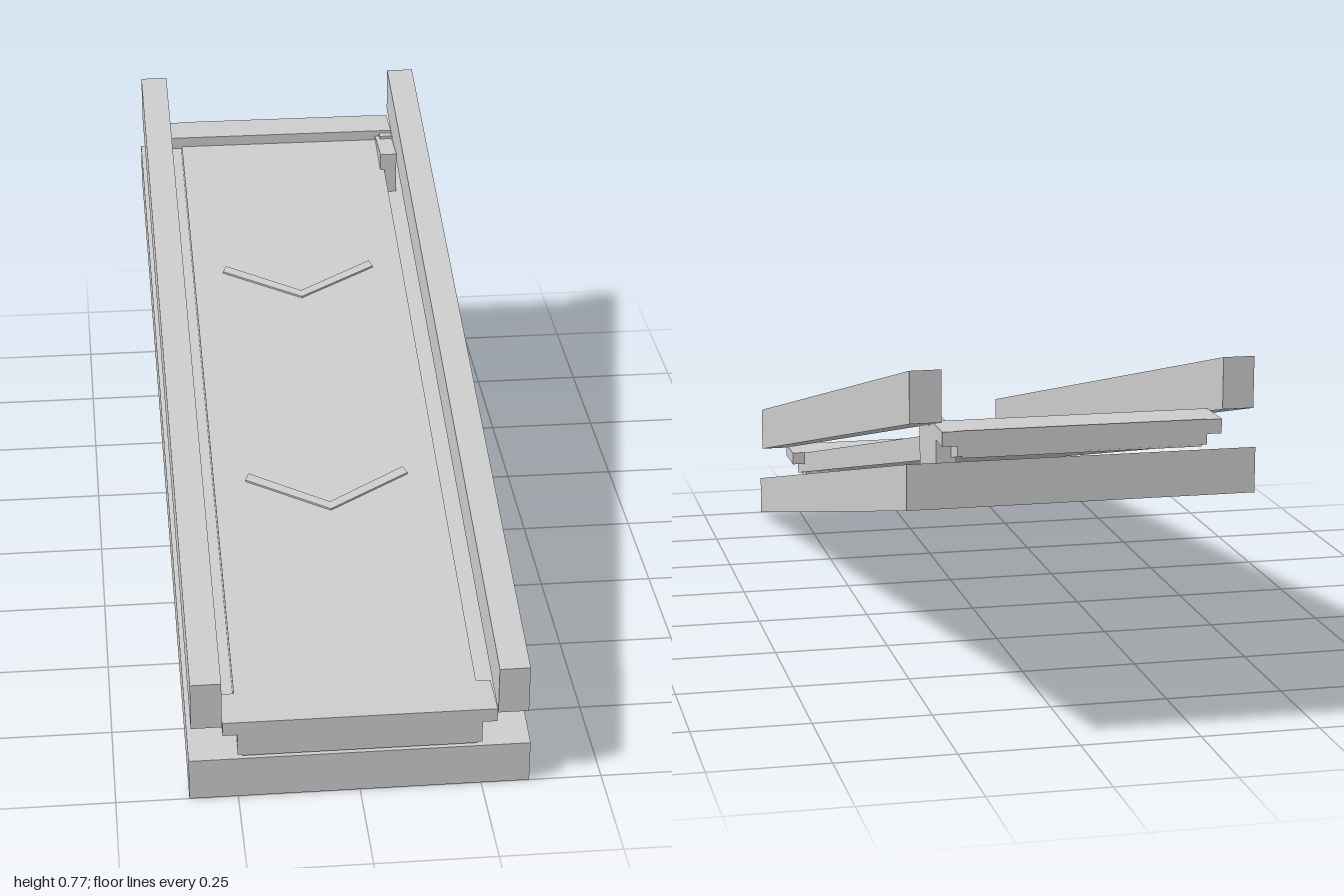
import * as THREE from 'three';

const SLOPE = 0.25;

export function createModel() {
  const group = new THREE.Group();
  const material = new THREE.MeshStandardMaterial({ color: 0xcccccc, flatShading: true });

  function add(name, geometry) {
    const mesh = new THREE.Mesh(geometry, material);
    mesh.name = name;
    group.add(mesh);
  }

  // Tilt a geometry along the incline while keeping its ends vertical
  function incline(geometry) {
    const p = geometry.attributes.position;
    for (let i = 0; i < p.count; i++) p.setY(i, p.getY(i) - SLOPE * p.getZ(i));
    geometry.computeVertexNormals();
    return geometry;
  }

  function box(x0, x1, y0, y1, z0, z1) {
    return new THREE.BoxGeometry(x1 - x0, y1 - y0, z1 - z0)
      .translate((x0 + x1) / 2, (y0 + y1) / 2, (z0 + z1) / 2);
  }

  // Inclined members; heights are those at the middle, z = 0
  add('base', incline(box(-0.35, 0.35, 0.25, 0.342, -1, 1)));
  add('belt', incline(box(-0.25, 0.25, 0.352, 0.403, -1, 1)));
  add('leftRail', incline(box(0.281, 0.344, 0.421, 0.525, -1, 1)));
  add('rightRail', incline(box(-0.344, -0.281, 0.421, 0.525, -1, 1)));

  // Level end plates and the end blocks inside the belt
  add('frontEndPlate', box(-0.28, 0.28, 0.15, 0.18, 0.895, 1));
  add('backEndPlate', box(-0.28, 0.28, 0.623, 0.652, -1, -0.9));
  add('frontEndBlock', box(-0.24, 0.24, 0.098, 0.15, 0.93, 0.998));
  add('backEndBlock', box(-0.24, 0.24, 0.598, 0.645, -0.998, -0.93));

  // Drive housing beside the upper end of the belt
  add('driveHousing', box(0.24, 0.28, 0.53, 0.638, -0.94, -0.78));
  add('driveLid', box(0.25, 0.28, 0.638, 0.645, -0.94, -0.88));

  // Raised V-shaped strips on the belt, pointing downhill
  for (const [name, apex] of [['upperChevron', -0.31], ['lowerChevron', 0.39]]) {
    const shape = new THREE.Shape([
      [0, 0], [0.18, 0.1], [0.172, 0.12], [0, 0.022], [-0.172, 0.12], [-0.18, 0.1],
    ].map(([x, y]) => new THREE.Vector2(x, y)));
    const strip = new THREE.ExtrudeGeometry(shape, { depth: 0.007, bevelEnabled: false })
      .rotateX(-Math.PI / 2)
      .translate(0, 0.4, apex);
    add(name, incline(strip));
  }

  return group;
}
